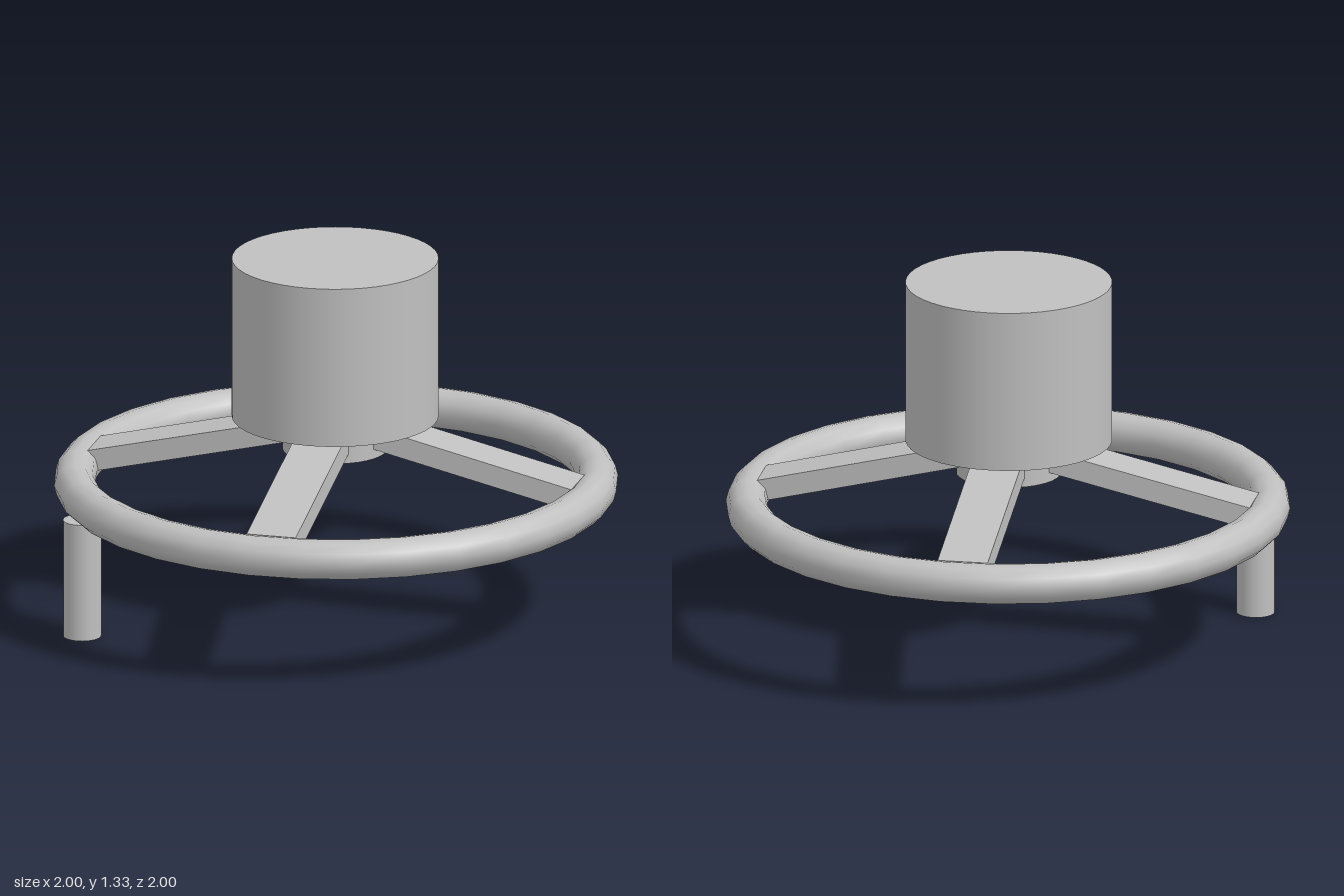
import * as THREE from 'three';

export function createModel() {
  const model = new THREE.Group();
  model.name = 'handwheel';
  const metal = new THREE.MeshStandardMaterial({ color: 0xc0c0c0 });
  metal.name = 'grey metal';

  const add = (name, geometry, parent = model) => {
    const mesh = new THREE.Mesh(geometry, metal);
    mesh.name = name;
    parent.add(mesh);
    return mesh;
  };
  // Upright cylinder between two heights
  const post = (name, radius, y0, y1, x, sides) => {
    const geometry = new THREE.CylinderGeometry(radius, radius, y1 - y0, sides);
    add(name, geometry).position.set(x, (y0 + y1) / 2, 0);
  };

  // Rim ring
  const rim = add('rim', new THREE.TorusGeometry(0.927, 0.073, 12, 32));
  rim.rotation.x = Math.PI / 2;
  rim.position.y = 0.5;

  // Hub drum, the narrow boss below it, and the crank handle
  post('hubDrum', 0.366, 0.74, 1.325, -0.003, 48);
  post('hubBoss', 0.187, 0.62, 0.745, -0.003, 32);
  post('handle', 0.068, 0, 0.43, -0.93, 24);

  // Four flat spokes sloping from the boss down to the rim
  const inner = 0.12, outer = 0.886, yInner = 0.745, yOuter = 0.565;
  const slope = Math.atan2(yInner - yOuter, outer - inner);
  const length = Math.hypot(outer - inner, yInner - yOuter);
  const thickness = 0.078;
  for (let i = 0; i < 4; i++) {
    const arm = new THREE.Group();
    arm.name = 'spokeArm' + (i + 1);
    arm.rotation.y = Math.PI / 3 + i * Math.PI / 2;
    model.add(arm);
    const geometry = new THREE.BoxGeometry(length, thickness, 0.18);
    geometry.translate(length / 2, -thickness / 2, 0);
    const spoke = add('spoke', geometry, arm);
    spoke.rotation.z = -slope;
    spoke.position.set(inner, yInner, 0);
  }
  return model;
}
